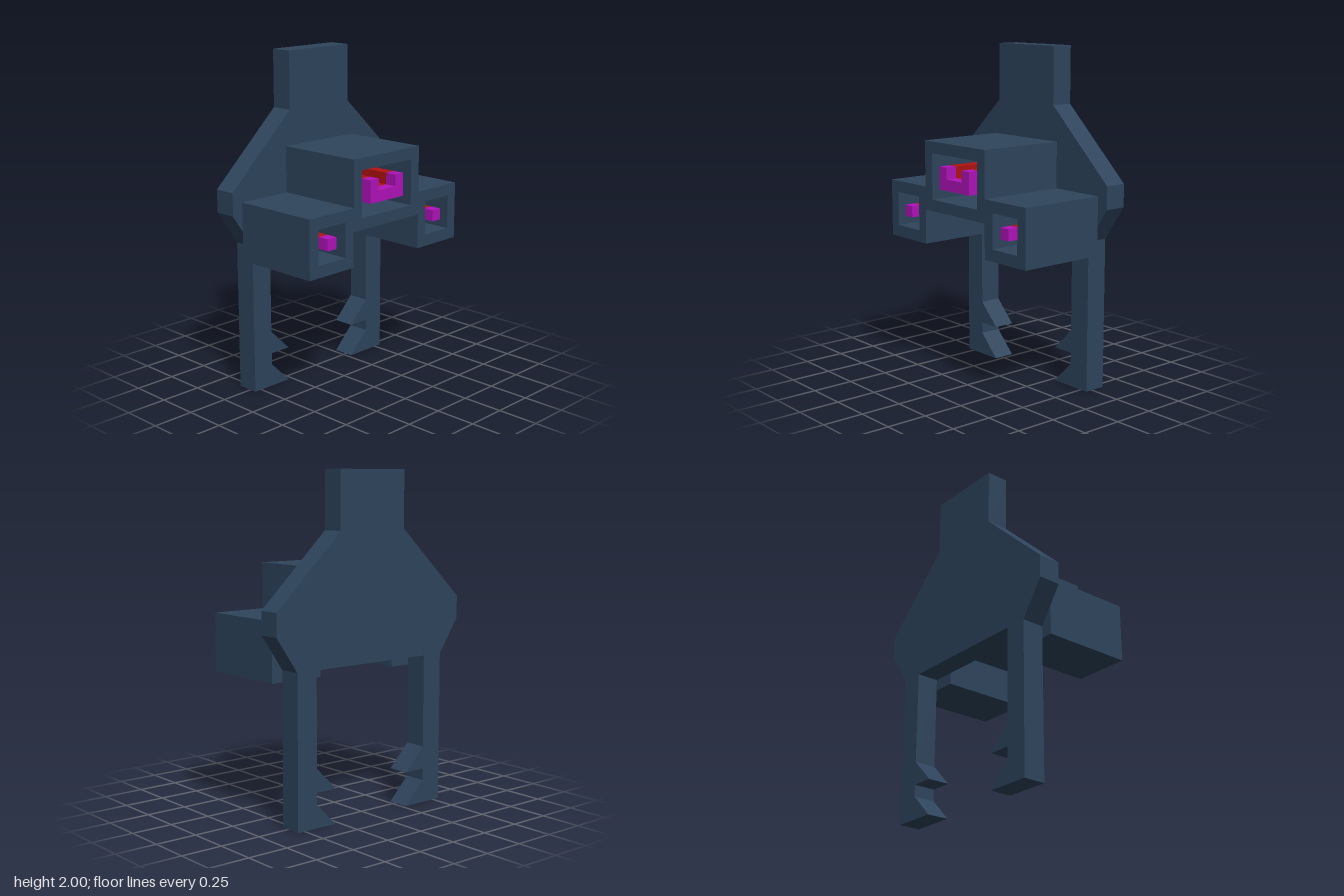
import * as THREE from 'three';

const BACK = -0.34, MID = -0.205, FRONT = 0.34;

const hull = new THREE.MeshStandardMaterial({ color: 0x2e445c });
const red = new THREE.MeshStandardMaterial({ color: 0xb01212 });
const magenta = new THREE.MeshStandardMaterial({ color: 0xb012ba });

const toPoints = (pairs) => pairs.map(([x, y]) => new THREE.Vector2(x, y));

// Close a right-hand half outline by mirroring it across x = 0
const mirrored = (half) => [...half, ...half.map(([x, y]) => [-x, y]).reverse()];

const rect = (cx, cy, w, h) => [
  [cx - w / 2, cy - h / 2], [cx + w / 2, cy - h / 2],
  [cx + w / 2, cy + h / 2], [cx - w / 2, cy + h / 2],
];

// Extrude an outline (with optional holes) between two z planes
function slab(name, outline, z0, z1, material, holes = []) {
  const shape = new THREE.Shape(toPoints(outline));
  holes.forEach((h) => shape.holes.push(new THREE.Path(toPoints(h))));
  const geometry = new THREE.ExtrudeGeometry(shape, { depth: z1 - z0, bevelEnabled: false });
  geometry.translate(0, 0, z0);
  const mesh = new THREE.Mesh(geometry, material);
  mesh.name = name;
  return mesh;
}

// Red barrel with a magenta tip, running the depth of its socket
function emitter(name, outline) {
  const group = new THREE.Group();
  group.name = name;
  group.add(
    slab(name + 'Barrel', outline, MID, FRONT - 0.07, red),
    slab(name + 'Tip', outline, FRONT - 0.07, FRONT, magenta),
  );
  return group;
}

export function createModel() {
  const model = new THREE.Group();
  model.name = 'clawedPlate';

  // Back plate: neck, shoulders and two barbed legs in one silhouette
  model.add(slab('backPlate', mirrored([
    [0.24, 2], [0.24, 1.66], [0.687, 1.24], [0.687, 1.105], [0.547, 0.9],
    [0.547, 0], [0.275, 0], [0.412, 0.137], [0.412, 0.207], [0.275, 0.207],
    [0.412, 0.345], [0.412, 0.9],
  ]), BACK, MID, hull));

  // Front housing with three open sockets
  const side = 0.445;
  model.add(slab('housing', mirrored([
    [0.274, 1.45], [0.274, 1.175], [0.617, 1.175], [0.617, 0.83],
    [0.274, 0.83], [0.274, 1.037],
  ]), MID, FRONT, hull, [
    rect(0, 1.243, 0.415, 0.275),
    rect(-side, 1.003, 0.21, 0.205),
    rect(side, 1.003, 0.21, 0.205),
  ]));

  // U-shaped centre emitter and a square one in each side socket
  model.add(emitter('centreEmitter', mirrored([
    [0.07, 1.243], [0.07, 1.311], [0.137, 1.311], [0.137, 1.175],
  ])));
  model.add(emitter('leftEmitter', rect(side, 1.003, 0.068, 0.068)));
  model.add(emitter('rightEmitter', rect(-side, 1.003, 0.068, 0.068)));

  return model;
}
